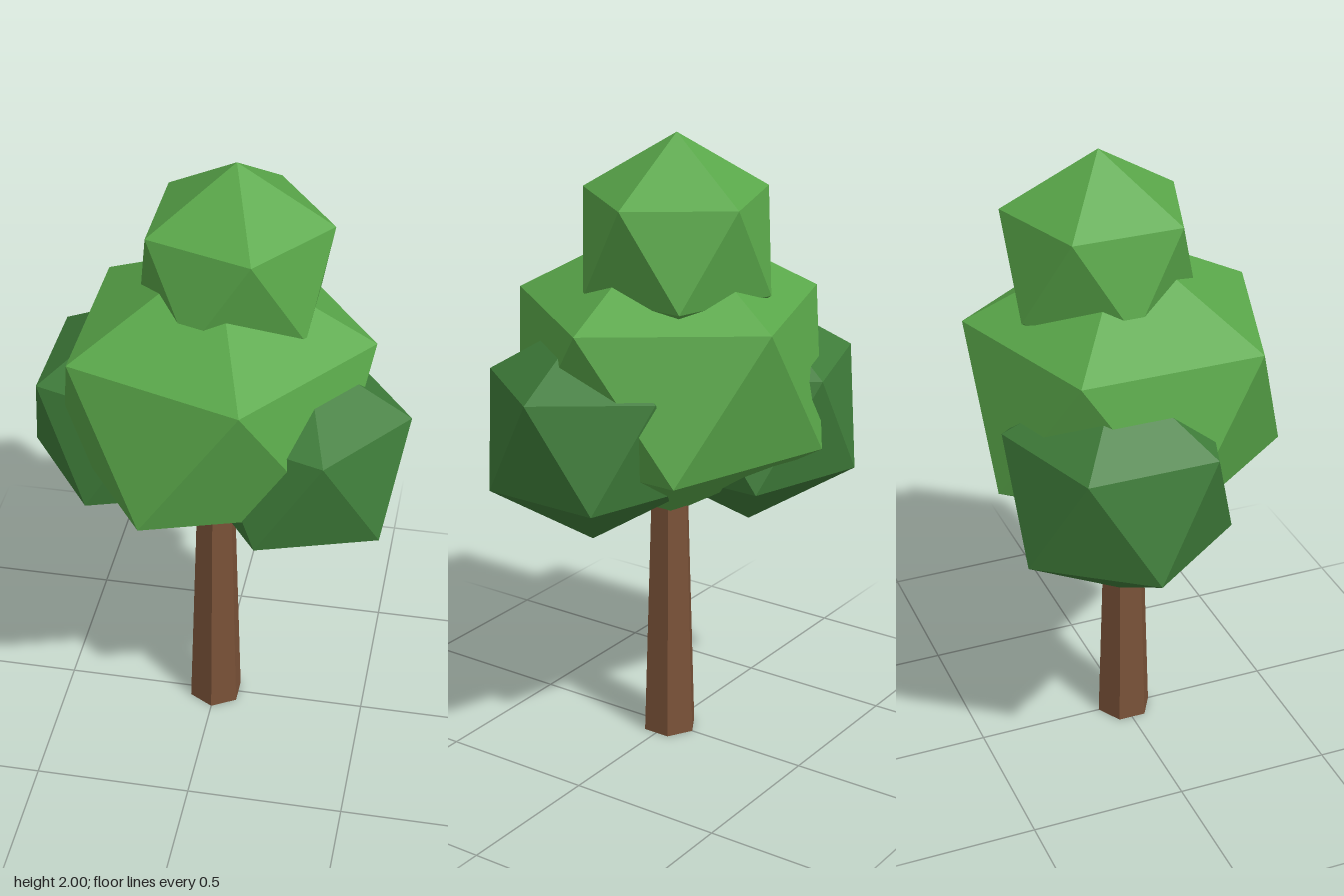
import * as THREE from 'three';

export function createModel() {
  const tree = new THREE.Group();
  tree.name = 'tree';

  const mat = (name, color) => {
    const m = new THREE.MeshStandardMaterial({ color, flatShading: true });
    m.name = name;
    return m;
  };
  const bark = mat('bark brown', 0x7a5238);
  const leaf = mat('leaf green', 0x5aa84a);
  const darkLeaf = mat('dark leaf green', 0x3f7d3a);

  // Tapered six-sided trunk, its top buried in the crown
  const trunk = new THREE.Mesh(new THREE.CylinderGeometry(0.06, 0.09, 0.95, 6), bark);
  trunk.name = 'trunk';
  trunk.position.y = 0.475;
  tree.add(trunk);

  // Foliage clump: an icosahedron standing on one corner
  const tilt = -Math.atan(2 / (1 + Math.sqrt(5)));
  function addClump(name, material, radius, [x, y, z], squash = 1) {
    const geometry = new THREE.IcosahedronGeometry(radius, 0);
    geometry.rotateZ(tilt).scale(1, squash, 1);
    const clump = new THREE.Mesh(geometry, material);
    clump.name = name;
    clump.position.set(x, y, z);
    tree.add(clump);
  }

  addClump('mainFoliage', leaf, 0.548, [0, 1.245, 0], 0.9);
  addClump('topFoliage', leaf, 0.331, [0.05, 1.669, -0.06]);
  addClump('leftFoliage', darkLeaf, 0.364, [0.289, 1.109, 0.09]);
  addClump('rightFoliage', darkLeaf, 0.388, [-0.272, 1.063, -0.125]);

  return tree;
}
